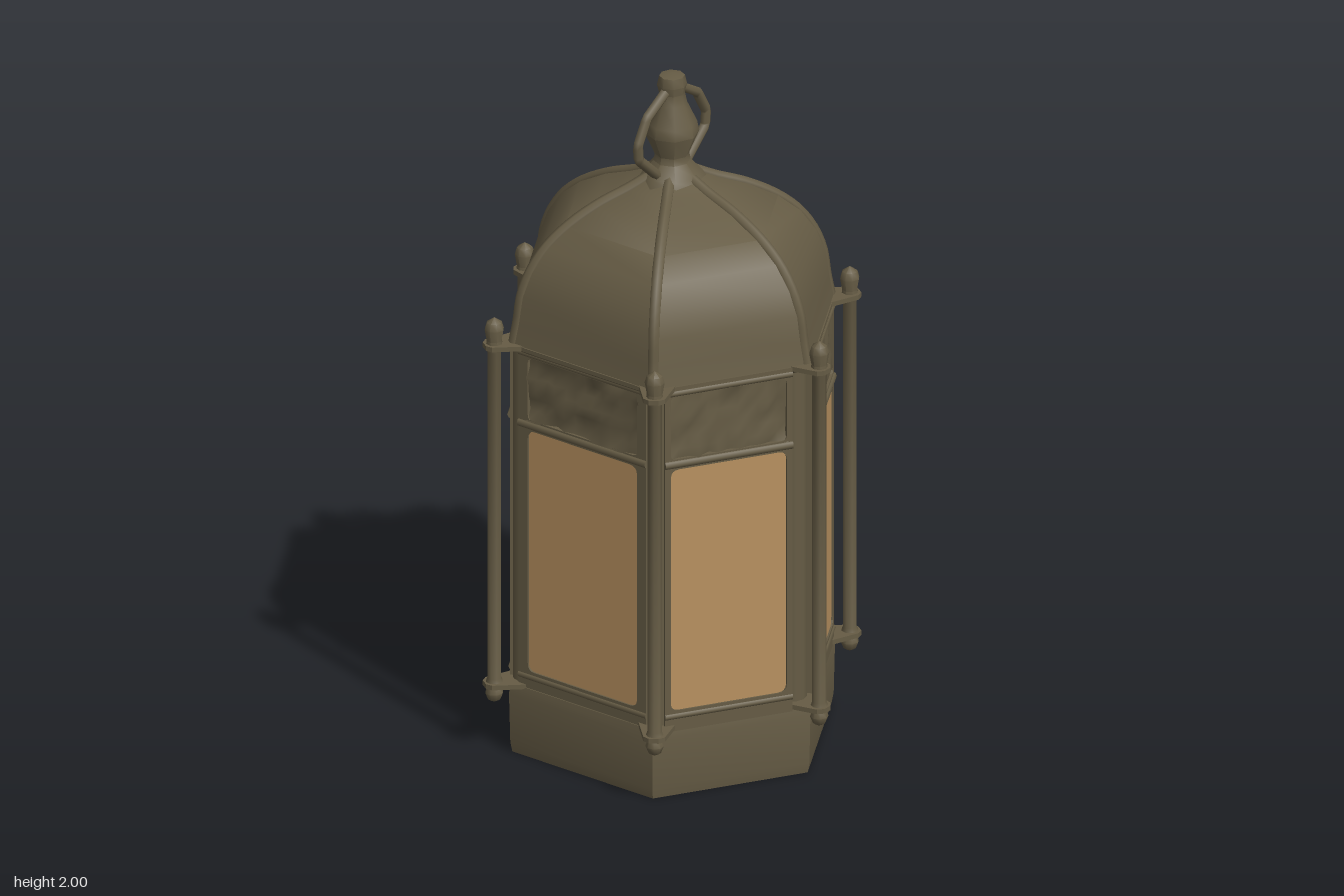
import * as THREE from 'three';
import { toCreasedNormals } from 'three/addons/utils/BufferGeometryUtils.js';

const bronze = new THREE.MeshStandardMaterial({ color: 0x665c45 });
bronze.name = 'aged bronze';
const amber = new THREE.MeshStandardMaterial({ color: 0xb89160 });
amber.name = 'amber glass';

const rad = THREE.MathUtils.degToRad;

// The hexagon is a little narrow in x: its side corners sit at these factors of the radius
const CORNER_X = 0.835, CORNER_Z = 0.518;

// [angle in degrees, apothem, half width, opening width]
const walls = [];
for (const a of [30, 150, 210, 330]) walls.push([a, 0.425, 0.19, 0.345]);
for (const a of [90, 270]) walls.push([a, 0.4, 0.225, 0.385]);

function add(parent, name, geometry, material = bronze, x = 0, y = 0, z = 0) {
  const mesh = new THREE.Mesh(geometry, material);
  mesh.name = name;
  mesh.position.set(x, y, z);
  parent.add(mesh);
  return mesh;
}

// Turned profile of [radius, y] pairs
function turned(profile, sides) {
  const points = profile.map(([r, y]) => new THREE.Vector2(r, y));
  return toCreasedNormals(new THREE.LatheGeometry(points, sides), 0.85);
}

// Six-sided profile with the side corners moved to the body's outline
function hexTurned(profile) {
  const g = new THREE.LatheGeometry(profile.map(([r, y]) => new THREE.Vector2(r, y)), 6);
  const pos = g.attributes.position;
  for (let i = 0; i < pos.count; i++) {
    const x = pos.getX(i), z = pos.getZ(i), r = Math.hypot(x, z);
    if (Math.abs(x) > 0.3 * r) {
      pos.setX(i, Math.sign(x) * r * CORNER_X);
      pos.setZ(i, Math.sign(z) * r * CORNER_Z);
    }
  }
  return toCreasedNormals(g, 0.7);
}

function roundedHole(w, y0, y1, r) {
  const h = w / 2, p = new THREE.Path();
  p.moveTo(-h + r, y0);
  p.quadraticCurveTo(-h, y0, -h, y0 + r);
  p.lineTo(-h, y1 - r);
  p.quadraticCurveTo(-h, y1, -h + r, y1);
  p.lineTo(h - r, y1);
  p.quadraticCurveTo(h, y1, h, y1 - r);
  p.lineTo(h, y0 + r);
  p.quadraticCurveTo(h, y0, h - r, y0);
  p.closePath();
  return p;
}

// Hammered relief sheet, displaced by a seeded rule
function reliefSheet(w, h, seed) {
  const g = new THREE.PlaneGeometry(w, h, 12, 6);
  const pos = g.attributes.position;
  let s = seed;
  for (let i = 0; i < pos.count; i++) {
    s = (s * 16807) % 2147483647;
    pos.setZ(i, (s / 2147483647 - 0.5) * 0.018);
  }
  g.computeVertexNormals();
  return g;
}

// One wall: pierced frame, nearly flush pane, relief band and mouldings
function makeWall([angle, apothem, half, opening]) {
  const wall = new THREE.Group();
  wall.name = 'wall';
  wall.rotation.y = rad(angle);
  const shape = new THREE.Shape();
  shape.moveTo(-half, 0.2);
  shape.lineTo(half, 0.2);
  shape.lineTo(half, 1.24);
  shape.lineTo(-half, 1.24);
  shape.closePath();
  shape.holes.push(roundedHole(opening, 0.262, 0.998, 0.025), roundedHole(opening, 1.03, 1.22, 0.015));
  const frame = new THREE.ExtrudeGeometry(shape, { depth: 0.025, bevelEnabled: false, curveSegments: 4 });
  add(wall, 'windowFrame', frame, bronze, 0, 0, apothem - 0.025);
  add(wall, 'windowPane', new THREE.BoxGeometry(opening + 0.01, 0.745, 0.008), amber, 0, 0.63, apothem - 0.009);
  add(wall, 'reliefBand', reliefSheet(opening + 0.01, 0.2, 71 + angle * 977), bronze, 0, 1.125, apothem - 0.006);
  for (const [y, r] of [[0.245, 0.01], [1.014, 0.013], [1.23, 0.01]]) {
    const bar = add(wall, 'moulding', new THREE.CylinderGeometry(r, r, half * 2, 8), bronze, 0, y, apothem - 0.005);
    bar.rotation.z = Math.PI / 2;
  }
  return wall;
}

// Post, rod and brackets standing on one corner
function makeCorner(angle) {
  const corner = new THREE.Group();
  corner.name = 'corner';
  corner.rotation.y = rad(angle);
  add(corner, 'cornerPost', new THREE.CylinderGeometry(0.046, 0.046, 1.05, 12), bronze, 0, 0.725, 0.417);

  // Slim free-standing rod with pointed ends
  const rod = turned([[0, 0.155], [0.018, 0.165], [0.026, 0.185], [0.018, 0.205], [0.026, 0.215], [0.02, 0.23],
    [0.02, 1.225], [0.026, 1.24], [0.022, 1.26], [0.028, 1.295], [0.022, 1.315], [0, 1.33]], 8);
  add(corner, 'outerRod', rod, bronze, 0, 0, 0.519);

  // Tapered brackets tying the rod to the body
  const shape = new THREE.Shape();
  shape.moveTo(-0.055, -0.43);
  shape.lineTo(0.055, -0.43);
  shape.lineTo(0.03, -0.535);
  shape.lineTo(0.014, -0.548);
  shape.lineTo(-0.014, -0.548);
  shape.lineTo(-0.03, -0.535);
  shape.closePath();
  for (const y of [0.205, 1.238]) {
    const plate = new THREE.ExtrudeGeometry(shape, { depth: 0.014, bevelEnabled: false });
    add(corner, 'bracket', plate, bronze, 0, y, 0).rotation.x = -Math.PI / 2;
  }
  return corner;
}

const domeProfile = [[0.486, 1.25], [0.474, 1.31], [0.462, 1.39], [0.434, 1.46], [0.388, 1.525],
  [0.32, 1.582], [0.23, 1.632], [0.14, 1.667], [0.07, 1.7]];

export function createModel() {
  const lantern = new THREE.Group();
  lantern.name = 'lantern';

  // Closed base and cornice
  add(lantern, 'base', hexTurned([[0, 0], [0.478, 0], [0.484, 0.03], [0.488, 0.18], [0.482, 0.21], [0, 0.215]]));
  add(lantern, 'cornice', hexTurned([[0, 1.225], [0.478, 1.228], [0.49, 1.238], [0.49, 1.25], [0, 1.252]]));
  add(lantern, 'dome', hexTurned(domeProfile));

  for (const wall of walls) lantern.add(makeWall(wall));
  for (const angle of [0, 57, 123, 180, 237, 303]) lantern.add(makeCorner(angle));

  // Ribs following the dome edges
  for (const sz of [-1, 1]) {
    for (const [cx, cz] of [[0, 1], [CORNER_X, CORNER_Z], [-CORNER_X, CORNER_Z]]) {
      const points = domeProfile.map(([r, y]) => new THREE.Vector3(cx * (r - 0.014), y, sz * cz * (r - 0.014)));
      add(lantern, 'domeRib', new THREE.TubeGeometry(new THREE.CatmullRomCurve3(points), 24, 0.017, 7));
    }
  }

  // Finial
  add(lantern, 'finial', turned([[0.1, 1.675], [0.085, 1.7], [0.052, 1.735], [0.048, 1.755], [0.076, 1.82],
    [0.07, 1.85], [0.042, 1.91], [0.036, 1.94], [0.042, 1.965], [0.036, 1.992], [0, 2]], 8));

  // Pair of bent handles beside the finial
  for (const side of [-1, 1]) {
    const path = new THREE.CurvePath();
    const points = [[0.055, 1.7], [0.148, 1.785], [0.152, 1.83], [0.112, 1.9], [0.02, 1.955]]
      .map(([x, y]) => new THREE.Vector3(side * x, y, 0));
    for (let i = 1; i < points.length; i++) path.add(new THREE.LineCurve3(points[i - 1], points[i]));
    add(lantern, 'handle', new THREE.TubeGeometry(path, 24, 0.015, 6));
  }
  return lantern;
}
